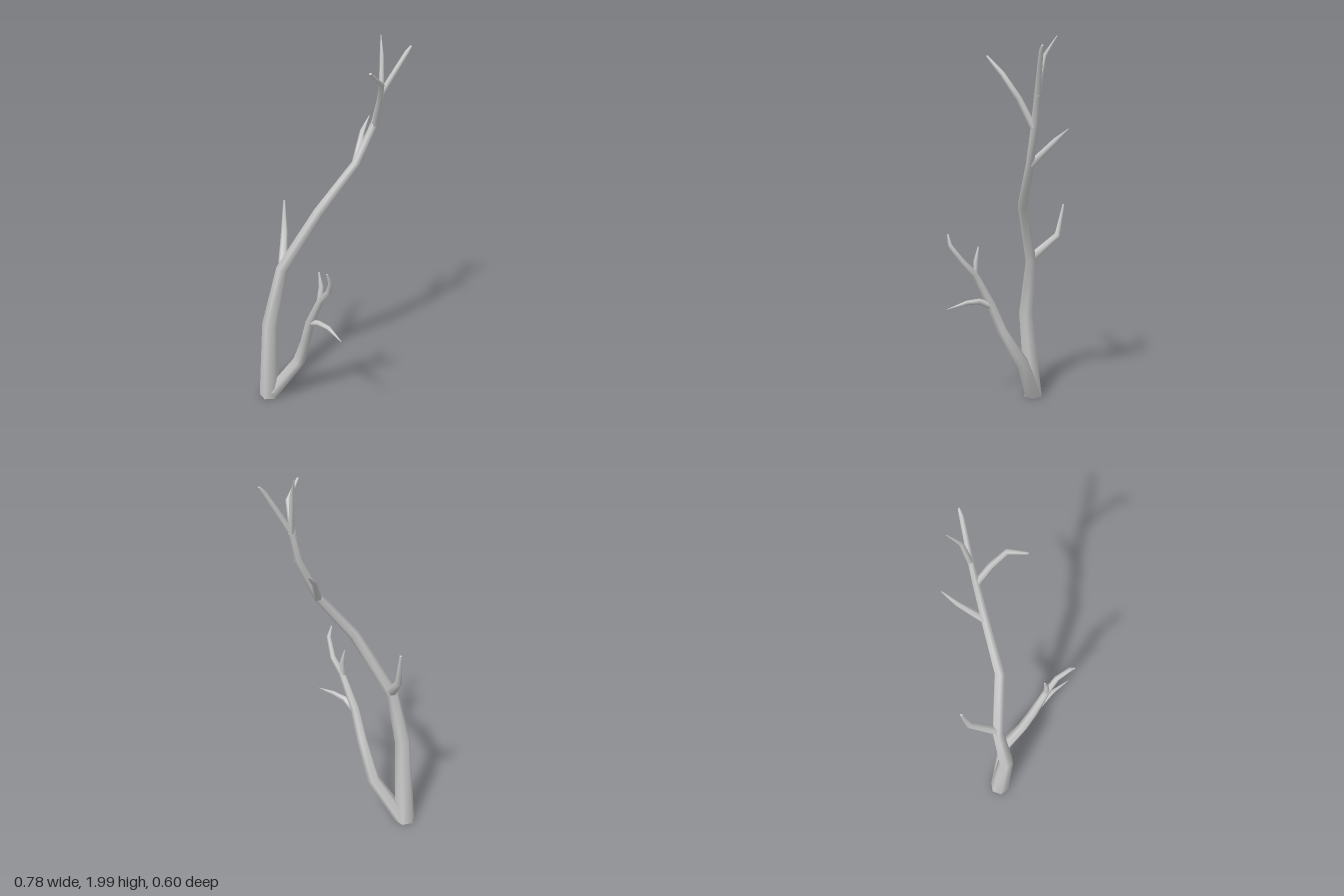
import * as THREE from 'three';

const SIDES = 6;
const V = (p) => new THREE.Vector3(p[0], p[1], p[2]);

// Tapered limb through points [x, y, z, radius], with mitred rings and closed ends
function limbGeometry(points, flatBase) {
  const pos = [], index = [];
  const centres = points.map(V);
  const last = points.length - 1;
  const side = new THREE.Vector3(1, 0, 0);
  const rings = centres.map((c, i) => {
    const before = c.clone().sub(centres[Math.max(i - 1, 0)]).normalize();
    const after = centres[Math.min(i + 1, last)].clone().sub(c).normalize();
    const t = before.add(after).normalize();
    if (i === 0 && flatBase) t.set(0, 1, 0);
    side.addScaledVector(t, -side.dot(t)).normalize();
    const up = t.clone().cross(side);
    const ring = [];
    for (let j = 0; j < SIDES; j++) {
      const a = (j / SIDES) * Math.PI * 2;
      ring.push(c.clone()
        .addScaledVector(side, Math.cos(a) * points[i][3])
        .addScaledVector(up, Math.sin(a) * points[i][3]));
    }
    return ring;
  });
  rings.forEach((ring) => ring.forEach((p) => pos.push(p.x, p.y, p.z)));
  for (let i = 0; i < last; i++) {
    for (let j = 0; j < SIDES; j++) {
      const k = (j + 1) % SIDES;
      const a = i * SIDES + j, b = i * SIDES + k;
      index.push(a, b, b + SIDES, a, b + SIDES, a + SIDES);
    }
  }
  // End caps have their own vertices so their rims stay sharp
  [[0, true], [last, false]].forEach(([r, flip]) => {
    const start = pos.length / 3;
    rings[r].forEach((p) => pos.push(p.x, p.y, p.z));
    for (let j = 1; j < SIDES - 1; j++) {
      if (flip) index.push(start, start + j + 1, start + j);
      else index.push(start, start + j, start + j + 1);
    }
  });
  const geometry = new THREE.BufferGeometry();
  geometry.setAttribute('position', new THREE.Float32BufferAttribute(pos, 3));
  geometry.setIndex(index);
  geometry.computeVertexNormals();
  return geometry;
}

export function createModel() {
  const tree = new THREE.Group();
  tree.name = 'bareTree';
  const bark = new THREE.MeshStandardMaterial({ color: 0xcccccc });

  const limbs = {
    // Tall stem, ending in the outward top twig
    mainTrunk: [
      [-0.338, 0, -0.15, 0.055], [-0.32, 0.5, -0.105, 0.041], [-0.245, 0.82, -0.13, 0.031],
      [-0.055, 1.16, -0.083, 0.027], [0.13, 1.4, -0.115, 0.021], [0.22, 1.6, -0.133, 0.018],
      [0.25, 1.74, -0.143, 0.015], [0.365, 1.93, -0.155, 0.011], [0.385, 1.957, -0.16, 0.005],
    ],
    // Shorter stem leaning forward from the same foot
    secondTrunk: [
      [-0.33, 0, -0.15, 0.05], [-0.17, 0.26, -0.09, 0.035], [-0.137, 0.46, 0.02, 0.027],
      [-0.115, 0.62, 0.08, 0.024], [-0.065, 0.8, 0.16, 0.018], [-0.032, 0.87, 0.215, 0.015],
      [-0.027, 0.96, 0.28, 0.012], [-0.046, 1.015, 0.292, 0.004],
    ],
    // Twigs on the main trunk
    lowerBackTwig: [
      [-0.24, 0.83, -0.13, 0.026], [-0.225, 0.965, -0.268, 0.018], [-0.22, 1.13, -0.295, 0.006],
    ],
    upperBackTwig: [
      [0.13, 1.4, -0.12, 0.02], [0.172, 1.52, -0.23, 0.013], [0.213, 1.58, -0.288, 0.002],
    ],
    upperFrontTwig: [
      [0.22, 1.59, -0.128, 0.017], [0.228, 1.72, -0.06, 0.015],
      [0.226, 1.825, 0.012, 0.013], [0.164, 1.9, 0.083, 0.006],
    ],
    topTwig: [
      [0.25, 1.73, -0.143, 0.014], [0.25, 1.91, -0.175, 0.01], [0.251, 1.993, -0.228, 0.002],
    ],
    // Twigs on the second trunk
    forwardTwig: [
      [-0.115, 0.61, 0.075, 0.02], [-0.075, 0.648, 0.14, 0.015],
      [-0.03, 0.655, 0.2, 0.012], [0.022, 0.638, 0.296, 0.002],
    ],
    uprightTwig: [
      [-0.07, 0.79, 0.155, 0.016], [-0.063, 0.87, 0.153, 0.013], [-0.073, 0.943, 0.14, 0.004],
    ],
  };

  for (const [name, points] of Object.entries(limbs)) {
    const mesh = new THREE.Mesh(limbGeometry(points, name.endsWith('Trunk')), bark);
    mesh.name = name;
    tree.add(mesh);
  }
  return tree;
}
